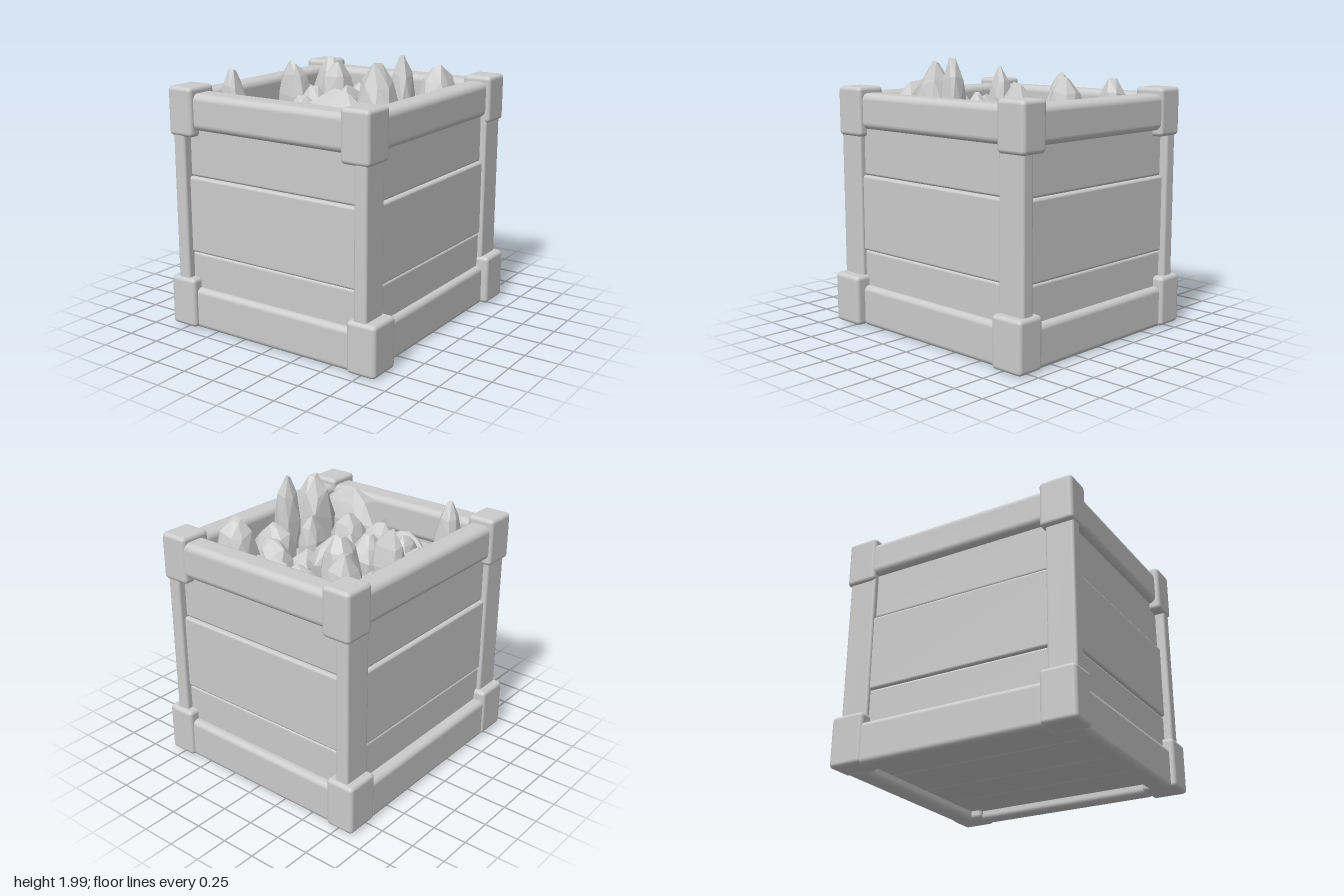
import * as THREE from 'three';
import { RoundedBoxGeometry } from 'three/addons/geometries/RoundedBoxGeometry.js';
import { ConvexGeometry } from 'three/addons/geometries/ConvexGeometry.js';

const material = new THREE.MeshStandardMaterial({ color: 0xcccccc });
const rockMaterial = new THREE.MeshStandardMaterial({ color: 0xcccccc, flatShading: true });

// Small seeded generator, 0..1
function seeded(seed) {
  return () => {
    seed = (seed * 16807) % 2147483647;
    return seed / 2147483647;
  };
}

// Softened beam given by its min and max on each axis
function beam(name, [x0, x1], [y0, y1], [z0, z1], radius) {
  const geometry = new RoundedBoxGeometry(x1 - x0, y1 - y0, z1 - z0, 3, radius);
  const mesh = new THREE.Mesh(geometry, material);
  mesh.position.set((x0 + x1) / 2, (y0 + y1) / 2, (z0 + z1) / 2);
  mesh.name = name;
  return mesh;
}

// Faceted stone: jittered, squarish rings narrowing to a blunt peak
function stone(x, z, width, depth, top, lean, random) {
  const base = 1.4;
  const rings = [[0, 1], [0.5, 0.98], [0.8, 0.68], [1, 0.22]];
  const points = [];
  const squarish = (v) => Math.sign(v) * Math.abs(v) ** 0.65;
  rings.forEach(([h, r], level) => {
    const sides = level === 3 ? 4 : 7;
    const turn = random() * 6;
    for (let i = 0; i < sides; i++) {
      const a = turn + (i / sides) * Math.PI * 2 + random() * 0.3;
      const s = r * (0.88 + random() * 0.14) / 2;
      const drop = level === 0 ? 0 : random() * 0.1;
      points.push(new THREE.Vector3(
        squarish(Math.cos(a)) * s * width + lean * h,
        (top - base) * (level === 3 && i === 0 ? 1 : h - drop),
        squarish(Math.sin(a)) * s * depth,
      ));
    }
  });
  const mesh = new THREE.Mesh(new ConvexGeometry(points), rockMaterial);
  mesh.position.set(x, base, z);
  mesh.name = 'stone';
  return mesh;
}

// x, z, width, depth, top height, sideways lean
const stones = [
  [-0.51, -0.57, 0.28, 0.28, 1.84], [-0.27, -0.6, 0.2, 0.22, 1.66],
  [-0.02, -0.6, 0.3, 0.24, 1.66], [0.21, -0.6, 0.22, 0.24, 1.65],
  [0.46, -0.55, 0.3, 0.32, 1.86], [-0.54, -0.31, 0.23, 0.24, 1.65],
  [-0.28, -0.32, 0.28, 0.3, 1.85], [0, -0.42, 0.28, 0.18, 1.58],
  [0.31, -0.35, 0.34, 0.24, 1.68], [0.43, -0.2, 0.36, 0.25, 1.72],
  [-0.03, -0.12, 0.2, 0.42, 1.72], [0.14, -0.18, 0.2, 0.32, 1.58],
  [-0.51, -0.08, 0.28, 0.2, 1.87], [-0.22, 0.07, 0.26, 0.28, 1.72],
  [0, 0.13, 0.18, 0.2, 1.65], [0.28, 0.03, 0.2, 0.22, 1.75],
  [0.51, 0.03, 0.19, 0.2, 2],
];
const frontStones = [
  [-0.5, 0.24, 0.29, 0.44, 1.62], [-0.33, 0.36, 0.16, 0.24, 1.65],
  [-0.12, 0.34, 0.28, 0.27, 1.7], [0.16, 0.32, 0.27, 0.26, 1.72],
  [0.46, 0.27, 0.3, 0.32, 1.97], [-0.54, 0.59, 0.2, 0.2, 1.89],
  [-0.18, 0.56, 0.38, 0.16, 1.58], [0.28, 0.57, 0.62, 0.28, 1.82, 0.08],
];

export function createModel() {
  const model = new THREE.Group();
  const crate = new THREE.Group();
  crate.name = 'crate';
  const fill = new THREE.Group();
  fill.name = 'stones';
  model.add(crate, fill);

  // Corner posts
  for (const x of [[-0.82, -0.72], [0.7, 0.8]]) {
    for (const z of [[-0.91, -0.69], [0.71, 0.92]]) {
      crate.add(beam('cornerPost', x, [0.15, 1.6], z, 0.02));
    }
  }

  // Corner caps, slightly uneven between top and bottom
  const caps = [
    [[-0.85, -0.64], [1.43, 1.78], [0.68, 0.93]],
    [[0.6, 0.82], [1.42, 1.78], [0.68, 0.93]],
    [[-0.84, -0.62], [1.43, 1.78], [-0.93, -0.69]],
    [[0.6, 0.82], [1.43, 1.775], [-0.93, -0.69]],
    [[-0.88, -0.66], [0.02, 0.39], [0.68, 0.94]],
    [[0.655, 0.88], [0.02, 0.39], [0.68, 0.94]],
    [[-0.88, -0.66], [0.02, 0.39], [-0.94, -0.68]],
    [[0.64, 0.86], [0.02, 0.39], [-0.94, -0.68]],
  ];
  caps.forEach(([x, y, z]) => crate.add(beam('cornerCap', x, y, z, 0.03)));

  // Rim and base rails
  const top = [1.475, 1.735], bottom = [0.01, 0.315];
  crate.add(
    beam('frontRim', [-0.7, 0.68], top, [0.69, 0.9], 0.05),
    beam('backRim', [-0.7, 0.68], top, [-0.92, -0.72], 0.05),
    beam('leftRim', [0.61, 0.79], top, [-0.75, 0.75], 0.05),
    beam('rightRim', [-0.83, -0.65], top, [-0.75, 0.75], 0.05),
    beam('frontBaseRail', [-0.73, 0.7], bottom, [0.74, 0.905], 0.04),
    beam('backBaseRail', [-0.73, 0.7], bottom, [-0.915, -0.76], 0.04),
    beam('leftBaseRail', [0.68, 0.81], bottom, [-0.72, 0.72], 0.04),
    beam('rightBaseRail', [-0.87, -0.7], bottom, [-0.72, 0.72], 0.04),
  );

  // Wall planks: bottom, top, and inset of each course
  const courses = [[0.22, 0.575, 0.01], [0.575, 1.135, 0], [1.135, 1.55, 0.02]];
  for (const [y0, y1, inset] of courses) {
    const y = [y0, y1];
    const walls = [
      beam('frontPlank', [-0.74, 0.73], y, [0.74, 0.87 - inset], 0.02),
      beam('backPlank', [-0.74, 0.73], y, [-0.87 + inset, -0.75], 0.02),
      beam('leftPlank', [0.65, 0.775 - inset], y, [-0.74, 0.74], 0.02),
      beam('rightPlank', [-0.8 + inset, -0.68], y, [-0.74, 0.74], 0.02),
    ];
    crate.add(...walls);
  }

  // Floor planks running front to back
  const seams = [-0.76, -0.38, 0.02, 0.36, 0.73];
  for (let i = 0; i < 4; i++) {
    crate.add(beam('floorPlank', [seams[i], seams[i + 1]], [0.08, 0.16], [-0.8, 0.8], 0.012));
  }

  // Bed under the stones, and the stones
  fill.add(beam('stoneBed', [-0.69, 0.67], [1.36, 1.45], [-0.76, 0.76], 0.01));
  const random = seeded(4211);
  [...stones, ...frontStones].forEach(([x, z, w, d, h, lean = 0]) => {
    fill.add(stone(x, z, w, d, h, lean, random));
  });
  return model;
}
